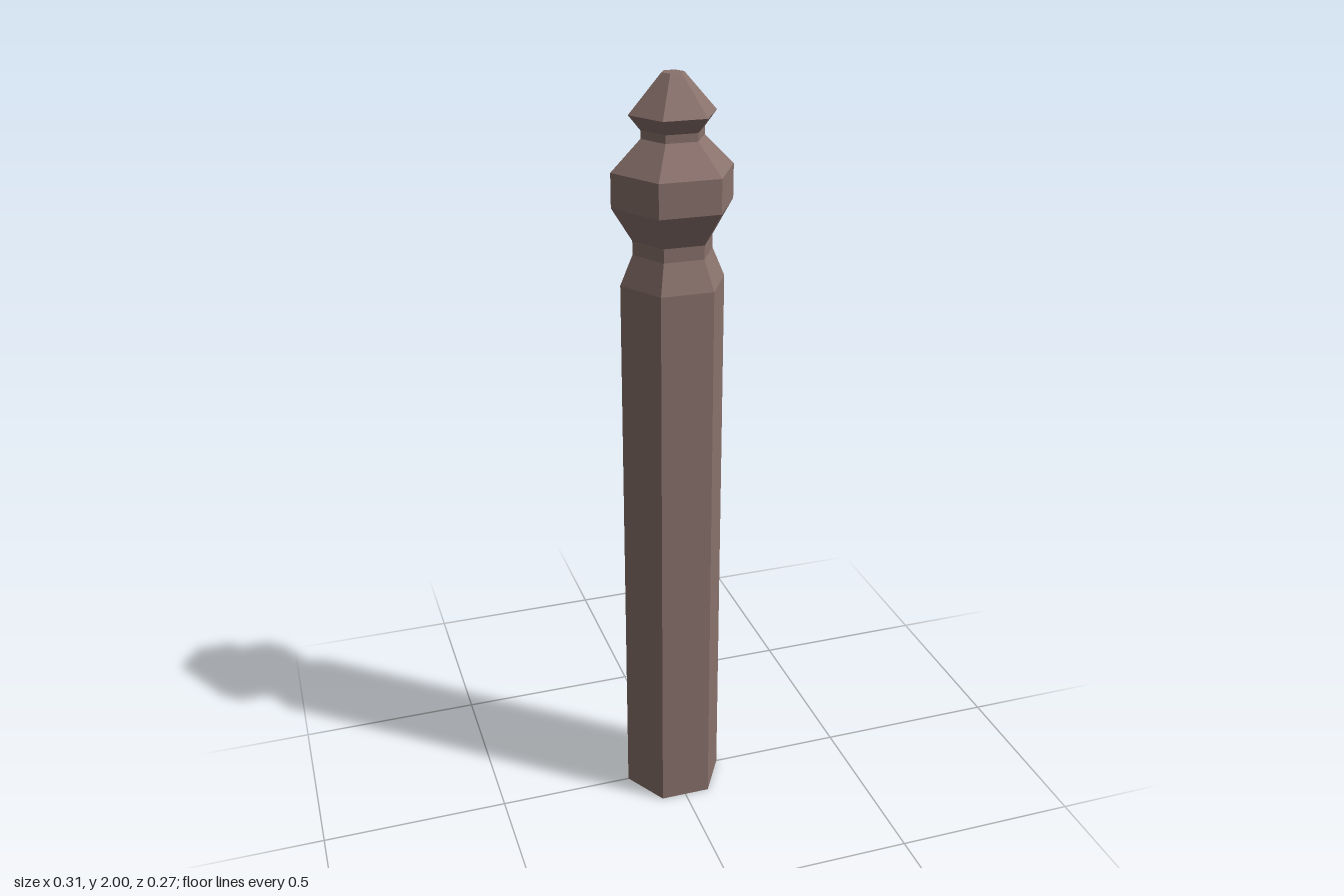
import * as THREE from 'three';

const SIDES = 6;

export function createModel() {
  const group = new THREE.Group();
  group.name = 'post';
  const material = new THREE.MeshStandardMaterial({ color: 0x8a726c, flatShading: true });

  // Hexagonal turning from [radius, height] points, with corners on the x axis
  const addTurned = (name, profile) => {
    const points = profile.map(([r, y]) => new THREE.Vector2(r, y));
    const mesh = new THREE.Mesh(new THREE.LatheGeometry(points, SIDES, Math.PI / 2), material);
    mesh.name = name;
    group.add(mesh);
  };

  // Straight shaft with a closed foot and tapered shoulder
  addTurned('shaft', [[0, 0], [0.135, 0], [0.135, 1.495], [0.103, 1.57]]);

  // Narrow neck between shaft and bulb
  addTurned('neck', [[0.103, 1.57], [0.103, 1.605]]);

  // Wide faceted bulb
  addTurned('bulb', [[0.103, 1.605], [0.155, 1.69], [0.155, 1.775], [0.08, 1.85]]);

  // Small collar and pointed cap with a flat tip
  addTurned('cap', [[0.08, 1.85], [0.08, 1.87], [0.11, 1.907], [0.028, 2], [0, 2]]);

  return group;
}
